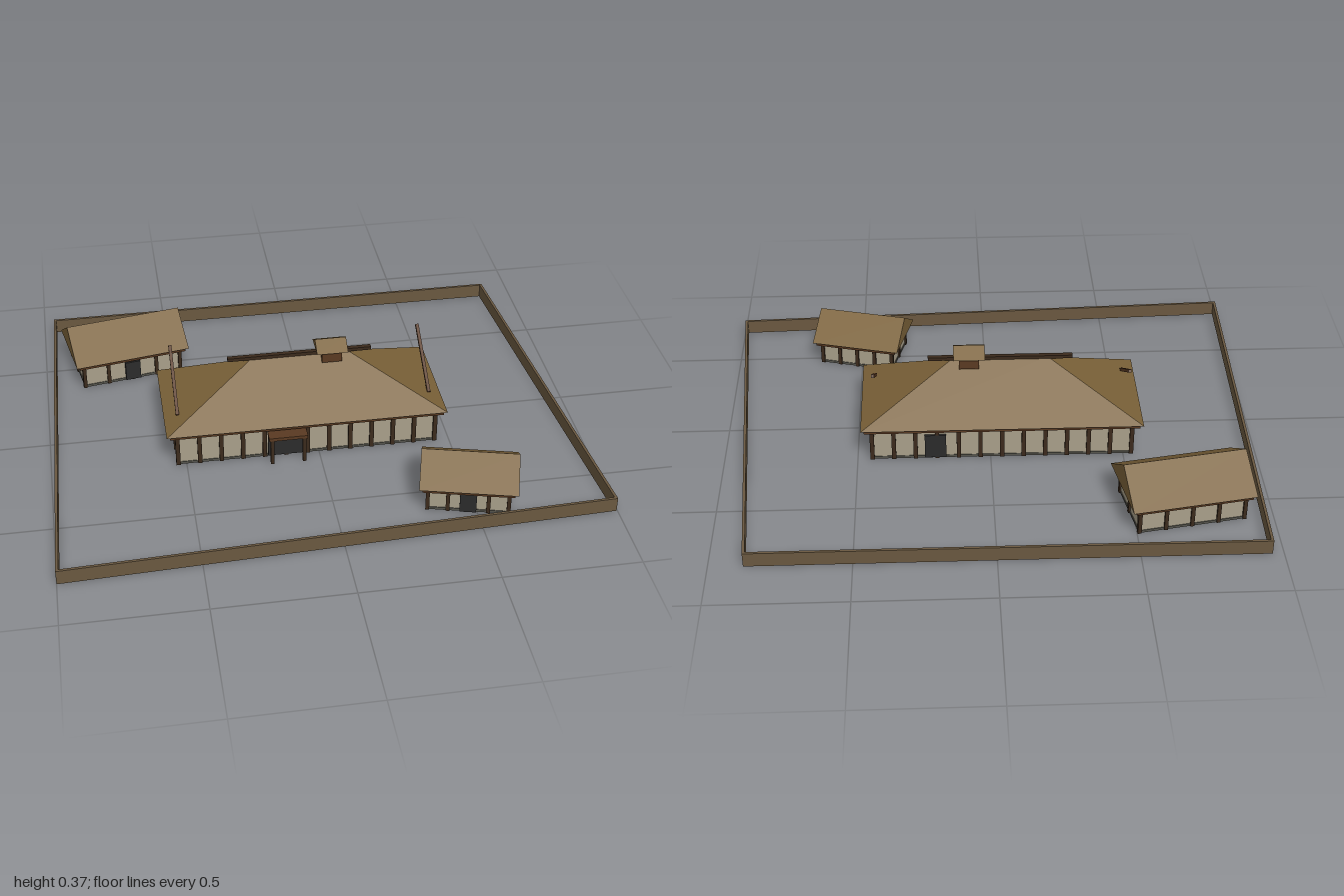
import * as THREE from 'three';

const mat = (color) => new THREE.MeshStandardMaterial({ color, flatShading: true });
const thatch = mat(0x7a6138), plaster = mat(0xa89f8a), timber = mat(0x3b2a1c);
const beam = mat(0x5a3a22), earth = mat(0x6a5840), dark = mat(0x2b2b2b), stone = mat(0x55544c);

function add(parent, name, geometry, material, x = 0, y = 0, z = 0) {
  const mesh = new THREE.Mesh(geometry, material);
  mesh.name = name;
  mesh.position.set(x, y, z);
  parent.add(mesh);
  return mesh;
}

const box = (parent, name, material, w, h, d, x, y, z) =>
  add(parent, name, new THREE.BoxGeometry(w, h, d), material, x, y, z);

// Closed roof with a ridge along x: gabled when ridge equals length, hipped when shorter
function roofGeometry(length, width, height, ridge) {
  const a = length / 2, b = width / 2, r = ridge / 2;
  const points = [-a, 0, b, a, 0, b, a, 0, -b, -a, 0, -b, -r, height, 0, r, height, 0];
  const g = new THREE.BufferGeometry();
  g.setAttribute('position', new THREE.Float32BufferAttribute(points, 3));
  g.setIndex([0, 1, 5, 0, 5, 4, 2, 3, 4, 2, 4, 5, 1, 2, 5, 3, 0, 4, 0, 3, 2, 0, 2, 1]);
  const flat = g.toNonIndexed();
  flat.computeVertexNormals();
  return flat;
}

// Timber-framed building: floor, plaster walls, posts, eave frame and roof
function building(name, o) {
  const g = new THREE.Group();
  g.name = name;
  const { length: l, width: w, eave, post } = o;
  box(g, 'floor', stone, l + 0.005, 0.01, w + 0.005, 0, 0.005, 0);
  box(g, 'walls', plaster, l, eave - 0.01, w, 0, 0.01 + (eave - 0.01) / 2, 0);
  const addPost = (x, z) => box(g, 'post', timber, post, eave, post, x, eave / 2, z);
  for (let i = 0; i <= o.baysX; i++)
    for (const s of [-1, 1]) addPost(-l / 2 + (l * i) / o.baysX, (s * w) / 2);
  for (let i = 1; i < o.baysZ; i++)
    for (const s of [-1, 1]) addPost((s * l) / 2, -w / 2 + (w * i) / o.baysZ);
  box(g, 'eaveFrame', beam, o.roofL - 0.025, 0.014, o.roofW - 0.015, 0, eave - 0.007, 0);
  add(g, 'roof', roofGeometry(o.roofL, o.roofW, o.rise, o.ridge), thatch, 0, eave, 0);
  return g;
}

function hall() {
  const g = building('hall', {
    length: 0.975, width: 0.39, eave: 0.143, post: 0.016, baysX: 12, baysZ: 4,
    roofL: 1.055, roofW: 0.455, rise: 0.17, ridge: 0.36,
  });
  g.position.set(-0.043, 0, -0.003);
  box(g, 'ridgePole', timber, 0.545, 0.013, 0.018, 0, 0.317, 0);

  // Front door with porch, and a back door
  box(g, 'frontDoor', dark, 0.14, 0.11, 0.02, -0.08, 0.06, 0.194);
  for (const x of [-0.06, 0.06]) box(g, 'porchPost', timber, 0.013, 0.108, 0.013, x - 0.08, 0.054, 0.245);
  box(g, 'porchLintel', beam, 0.145, 0.013, 0.055, -0.08, 0.113, 0.228);
  box(g, 'backDoor', dark, 0.08, 0.1, 0.02, 0.25, 0.055, -0.194);

  // Smoke vent on the ridge
  box(g, 'smokeVent', beam, 0.075, 0.05, 0.08, 0.118, 0.316, 0);
  add(g, 'smokeVentRoof', roofGeometry(0.118, 0.112, 0.034, 0.118), thatch, 0.118, 0.338, 0);

  // Poles leaning over each end of the roof
  for (const s of [-1, 1]) {
    const pole = box(g, 'leaningPole', beam, 0.012, 0.284, 0.012, s * 0.477, 0.245, 0);
    pole.rotation.x = -Math.atan2(0.24, 0.152);
  }
  return g;
}

function hut(name, x, z, turn, o) {
  const g = building(name, { post: 0.014, baysX: 4, baysZ: 2, ridge: o.roofL, ...o });
  box(g, 'door', dark, 0.06, 0.08, 0.018, 0, 0.045, o.width / 2 + 0.004);
  g.position.set(x, 0, z);
  g.rotation.y = turn;
  return g;
}

// Low wall around the yard, following its four corners
function yardWall() {
  const g = new THREE.Group();
  g.name = 'yardWall';
  const corners = [[-0.955, -0.8], [0.873, -0.8], [0.992, 0.712], [-0.995, 0.79]];
  corners.forEach(([x1, z1], i) => {
    const [x2, z2] = corners[(i + 1) % 4];
    const side = box(g, 'wallSide', earth, Math.hypot(x2 - x1, z2 - z1) + 0.008, 0.056, 0.01,
      (x1 + x2) / 2, 0.028, (z1 + z2) / 2);
    side.rotation.y = -Math.atan2(z2 - z1, x2 - x1);
  });
  return g;
}

export function createModel() {
  const model = new THREE.Group();
  model.name = 'homestead';
  model.add(
    yardWall(),
    hall(),
    hut('largeHut', -0.679, -0.521, 0.175,
      { length: 0.39, width: 0.24, eave: 0.112, roofL: 0.455, roofW: 0.303, rise: 0.104 }),
    hut('smallHut', 0.494, 0.536, -0.255,
      { length: 0.29, width: 0.2, eave: 0.103, roofL: 0.353, roofW: 0.262, rise: 0.089 }),
  );
  return model;
}
